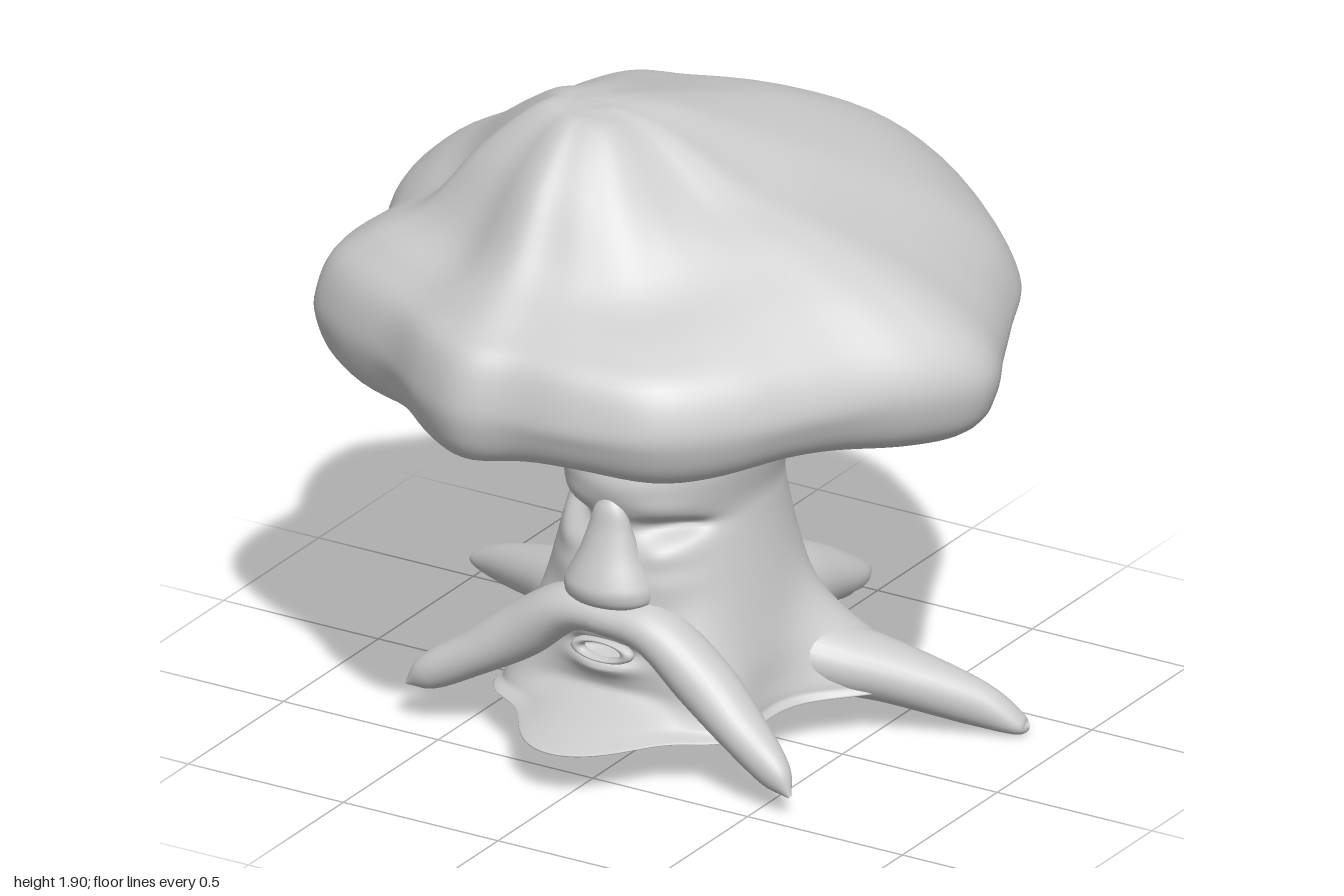
import * as THREE from 'three';

const material = new THREE.MeshStandardMaterial({ color: 0xcccccc });
const gauss = (d, w) => Math.exp(-(d * d) / (w * w));

// smooth interpolation through rows of numbers, at the given stations
function spline(rows, stations = rows.map((_, i) => i)) {
  const it = new THREE.CubicInterpolant(stations, rows.flat(), rows[0].length);
  return (t) => [...it.evaluate(t)];
}

// surface of rings: point(u, angle) with u from 0 to 1, closed around the ring
function loft(name, rows, cols, point) {
  const pos = [], index = [];
  for (let i = 0; i <= rows; i++) {
    for (let j = 0; j < cols; j++) {
      pos.push(...point(i / rows, (j / cols) * Math.PI * 2));
      if (i === rows) continue;
      const a = i * cols + j, b = i * cols + (j + 1) % cols;
      index.push(a, a + cols, b, b, a + cols, b + cols);
    }
  }
  const g = new THREE.BufferGeometry();
  g.setAttribute('position', new THREE.Float32BufferAttribute(pos, 3));
  g.setIndex(index);
  g.computeVertexNormals();
  const mesh = new THREE.Mesh(g, material);
  mesh.name = name;
  return mesh;
}

// lumpy crown: rings run from an off-centre apex out to an irregular outline
function crown() {
  const outline = new THREE.CatmullRomCurve3([
    [1, 0.03], [0.93, 0.2], [0.8, 0.37], [0.7, 0.52], [0.58, 0.7], [0.42, 0.86], [0.2, 0.93],
    [0, 0.95], [-0.15, 0.99], [-0.3, 0.93], [-0.5, 0.78], [-0.75, 0.65], [-0.87, 0.55],
    [-0.9, 0.42], [-0.89, 0.2], [-0.97, 0], [-1, -0.15], [-0.98, -0.28], [-0.84, -0.45],
    [-0.77, -0.65], [-0.62, -0.86], [-0.35, -0.9], [0, -0.985], [0.22, -0.99], [0.35, -0.93],
    [0.6, -0.72], [0.72, -0.58], [0.82, -0.37], [0.91, -0.18],
  ].map(([x, z]) => new THREE.Vector3(x, 0, z)), true);
  const ax = -0.15, az = 0.25;
  const under = [[0.02, 1.09], [0.3, 1.09], [0.6, 1.13], [0.78, 1.11], [0.87, 1.09], [0.94, 1.12], [0.985, 1.185]];
  const reach = [1, 0.94, 0.8, 0.6, 0.4, 0.2, 0.08, 0.001];
  // heights from rim to apex in each compass direction
  const front = [1.27, 1.4, 1.47, 1.58, 1.77, 1.89, 1.905, 1.905];
  const frontLeft = [1.26, 1.38, 1.46, 1.55, 1.73, 1.88, 1.905, 1.905];
  const frontRight = [1.27, 1.39, 1.47, 1.56, 1.755, 1.89, 1.905, 1.905];
  const right = [1.27, 1.4, 1.49, 1.58, 1.755, 1.89, 1.905, 1.905];
  const backSide = [1.26, 1.4, 1.54, 1.66, 1.77, 1.875, 1.9, 1.905];
  const back = [1.26, 1.42, 1.59, 1.72, 1.795, 1.865, 1.9, 1.905];
  const left = [1.27, 1.38, 1.5, 1.61, 1.7, 1.85, 1.9, 1.905];
  const heights = spline(
    [front, frontRight, right, backSide, back, backSide, left, frontLeft, front, frontRight, right, backSide],
    [-270, -225, -180, -135, -90, -45, 0, 45, 90, 135, 180, 225]);
  const cache = new Map();
  const column = (angle) => {
    if (!cache.has(angle)) {
      const p = outline.getPoint(angle / (Math.PI * 2));
      const a = Math.atan2(p.z - az, p.x - ax);
      const h = heights(THREE.MathUtils.radToDeg(a));
      const droop = -0.02 * gauss(a + 0.2, 0.35) + 0.012 * Math.sin(a * 7);
      const rows = [...under.map(([s, y]) => [s, y + droop * s]), ...reach.map((s, i) => [s, h[i]])];
      cache.set(angle, { p, a, at: spline(rows) });
    }
    return cache.get(angle);
  };
  return loft('crown', 70, 140, (u, angle) => {
    const { p, a, at } = column(angle);
    const [s, y] = at(u * 14);
    const lump = 0.01 * Math.sin(a * 5 + 1) * Math.sin(s * Math.PI) * s;
    // the outline's small waves fade towards the top
    const r = Math.hypot(p.x - ax, p.z - az);
    const round = 1 + (1 - s) * 0.12 * (0.95 - r);
    return [ax + (p.x - ax) * s * round, y + lump, az + (p.z - az) * s * round];
  });
}

// trunk: half width, front depth and back depth at each height, with root flares and face relief
function trunk() {
  const at = spline([
    [0.17, 0.01, 0.01, 0.01], [0.135, 0.37, 0.41, 0.42], [0.16, 0.38, 0.4, 0.43], [0.22, 0.37, 0.4, 0.43],
    [0.3, 0.36, 0.4, 0.42], [0.4, 0.34, 0.41, 0.4], [0.5, 0.32, 0.4, 0.38], [0.6, 0.3, 0.375, 0.355],
    [0.69, 0.285, 0.345, 0.335], [0.75, 0.28, 0.36, 0.33], [0.83, 0.295, 0.38, 0.34],
    [0.92, 0.312, 0.345, 0.345], [1, 0.315, 0.315, 0.355], [1.1, 0.3, 0.3, 0.37], [1.25, 0.31, 0.3, 0.39]]);
  // direction, reach, height and spread of each flare; the one at 90 is the pointed chin apron
  const flares = [[-24, 0.26, 0.19, 0.3], [204, 0.26, 0.21, 0.3], [271, 0.3, 0.21, 0.34],
    [42, 0.1, 0.25, 0.3], [138, 0.1, 0.25, 0.3], [90, 0.25, 0.055, 0.45]];
  // x, y, width, height, push along z
  const relief = [[0, 0.345, 0.08, 0.022, -0.06], [0, 0.3, 0.1, 0.025, 0.03], [0, 0.22, 0.16, 0.03, -0.02]];
  for (const s of [-1, 1]) {
    relief.push([s * 0.16, 0.7, 0.07, 0.026, -0.055], // eye socket
      [s * 0.16, 0.635, 0.07, 0.04, 0.025], // lower lid
      [s * 0.17, 0.56, 0.09, 0.05, 0.015], // cheek
      [s * 0.15, 0.765, 0.1, 0.035, 0.015]); // brow
  }
  return loft('trunk', 112, 160, (u, angle) => {
    const [y, a, zf, zb] = at(u * 14);
    const c = Math.cos(angle), s = Math.sin(angle);
    let k = 0;
    for (const [deg, amount, height, spread] of flares) {
      const f = THREE.MathUtils.degToRad(deg);
      k += amount * gauss(y - 0.13, height) * gauss(Math.atan2(Math.sin(angle - f), Math.cos(angle - f)), spread);
    }
    k *= Math.min(1, a / 0.3);
    const x = c * (a + k);
    let z = s * ((s > 0 ? zf : zb) + k);
    if (s > 0 && a > 0.2) {
      for (const [bx, by, w, h, d] of relief) z += d * gauss(x - bx, w) * gauss(y - by, h);
    }
    return [x - 0.03, y, z];
  });
}

// tapering root: each row is x, y, z, half width, half height
function root(name, rows, floor = 0) {
  const at = spline(rows), n = rows.length - 1;
  return loft(name, 36, 28, (u, angle) => {
    const [x, y, z, w, h] = at(u * n);
    const p = at(Math.max(0, u * n - 0.05)), q = at(Math.min(n, u * n + 0.05));
    const t = new THREE.Vector3(q[0] - p[0], q[1] - p[1], q[2] - p[2]).normalize();
    const side = new THREE.Vector3(-t.z, 0, t.x).normalize();
    const up = side.clone().cross(t);
    const v = side.multiplyScalar(Math.cos(angle) * w).addScaledVector(up, Math.sin(angle) * h);
    return [x + v.x, Math.max(floor, y + v.y), z + v.z];
  });
}

// nose: a wedge widening down to the nostrils
function nose() {
  const at = spline([
    [0.47, 0.02, 0.02], [0.49, 0.12, 0.085], [0.53, 0.135, 0.105], [0.57, 0.12, 0.095],
    [0.63, 0.09, 0.07], [0.7, 0.065, 0.045], [0.76, 0.045, 0.03], [0.8, 0.005, 0.005]]);
  return loft('nose', 28, 32, (u, angle) => {
    const [y, w, d] = at(u * 7);
    return [-0.03 + Math.cos(angle) * w, y, 0.36 + Math.sin(angle) * d];
  });
}

export function createModel() {
  const group = new THREE.Group();
  group.name = 'tree';
  group.add(crown(), trunk(), nose());

  // side roots, the right one ending higher
  group.add(root('leftRoot', [
    [0.1, 0.31, -0.05, 0.14, 0.1], [0.34, 0.22, -0.15, 0.13, 0.1], [0.52, 0.165, -0.235, 0.1, 0.085],
    [0.73, 0.085, -0.33, 0.06, 0.065], [0.84, 0.03, -0.375, 0.04, 0.03], [0.87, 0.025, -0.385, 0.004, 0.004]]));
  group.add(root('rightRoot', [
    [-0.16, 0.32, -0.05, 0.14, 0.1], [-0.4, 0.24, -0.15, 0.13, 0.1], [-0.58, 0.205, -0.235, 0.1, 0.08],
    [-0.79, 0.155, -0.33, 0.06, 0.055], [-0.9, 0.13, -0.375, 0.035, 0.025], [-0.93, 0.13, -0.385, 0.004, 0.004]]));
  group.add(root('backRoot', [
    [-0.02, 0.32, -0.2, 0.17, 0.12], [0, 0.25, -0.44, 0.16, 0.12], [0.02, 0.2, -0.62, 0.12, 0.09],
    [0.04, 0.15, -0.78, 0.07, 0.05], [0.05, 0.135, -0.88, 0.005, 0.004]], 0.13));

  // upper lip and moustache ridges that run down into the front roots
  for (const s of [-1, 1]) {
    const lift = s < 0 ? 0.06 : 0;
    group.add(root(s > 0 ? 'frontLeftRoot' : 'frontRightRoot', [
      [-0.04, 0.445, 0.36, 0.09, 0.06], [0.13, 0.425, 0.36, 0.09, 0.07], [0.29, 0.305, 0.36, 0.09, 0.08],
      [0.43, 0.2, 0.385, 0.075, 0.065], [0.56, 0.11, 0.42, 0.045, 0.05], [0.62, 0.06, 0.44, 0.005, 0.005],
    ].map(([x, y, z, w, h], i) => [-0.02 + s * x, y + lift * i / 5, z, w, h])));
  }

  // lips
  const lips = new THREE.Mesh(new THREE.TorusGeometry(0.08, 0.02, 10, 36), material);
  lips.name = 'lips';
  lips.scale.set(1, 0.36, 1);
  lips.position.set(-0.03, 0.345, 0.4);
  group.add(lips);
  return group;
}
